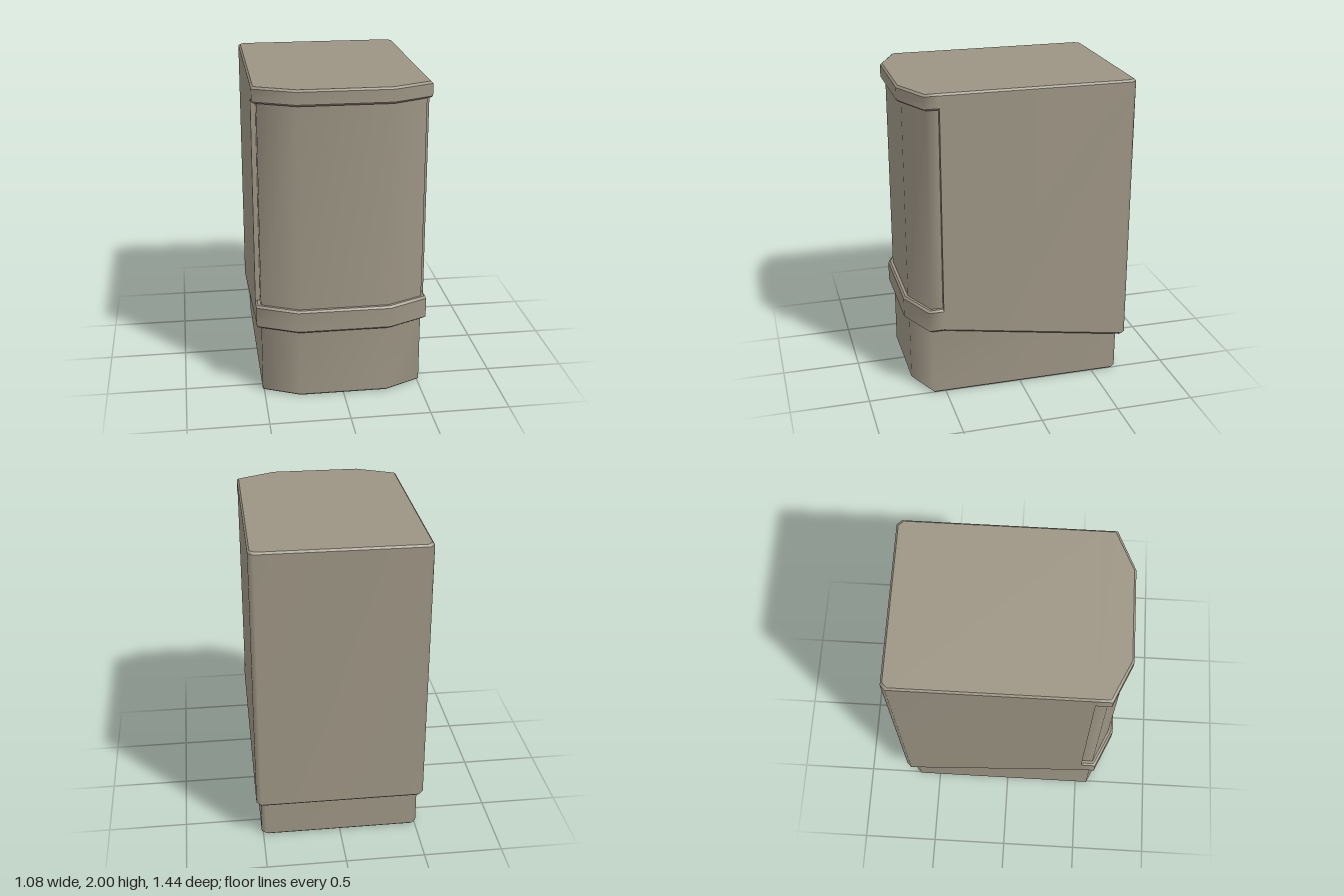
import * as THREE from 'three';
import { mergeGeometries } from 'three/addons/utils/BufferGeometryUtils.js';

// Smooth strip of quads between a lower and an upper row of points
function strip(low, high, closed) {
  const n = low.length, index = [];
  for (let i = 0; i < (closed ? n : n - 1); i++) {
    const j = (i + 1) % n;
    index.push(i, j, n + j, i, n + j, n + i);
  }
  const g = new THREE.BufferGeometry();
  g.setAttribute('position', new THREE.Float32BufferAttribute([...low, ...high].flat(), 3));
  g.setIndex(index);
  g.computeVertexNormals();
  return g;
}

// Bevelled upright block. half: [x, z] outline of the +x side, front to back.
// ends: 'closed' smooth all round, 'openBack' no rear wall, 'flatFront' separate flat front wall.
function block(half, bottom, top, bevel, ends) {
  const maxX = Math.max(...half.map(p => p[0]));
  const level = (inset, yAt) => half.map(([x, z]) => [
    x * (1 - inset / maxX),
    yAt(z),
    Math.abs(z) > 0.57 ? z - inset * Math.sign(z) : z,
  ]);
  const mirror = pts => pts.map(([x, y, z]) => [-x, y, z]);
  const levels = [
    level(bevel, bottom),
    level(0, z => bottom(z) + bevel),
    level(0, () => top - bevel),
    level(bevel, () => top),
  ];
  const ring = pts => {
    const left = mirror(pts).reverse();
    return ends === 'openBack' ? [...left, ...pts] : [...pts, ...left];
  };
  const parts = [];
  for (let i = 0; i < 3; i++) {
    const a = levels[i], b = levels[i + 1];
    parts.push(strip(ring(a), ring(b), ends === 'closed'));
    if (ends === 'flatFront')
      parts.push(strip([mirror(a)[0], a[0]], [mirror(b)[0], b[0]], false));
  }
  // Lids run as strips from front to back
  parts.push(strip(levels[3], mirror(levels[3]), false));
  parts.push(strip(mirror(levels[0]), levels[0], false));
  return mergeGeometries(parts);
}

export function createModel() {
  const model = new THREE.Group();
  const material = new THREE.MeshStandardMaterial({ color: 0x9c9484 });
  material.name = 'warm grey';
  const add = (name, geometry) => {
    const mesh = new THREE.Mesh(geometry, material);
    mesh.name = name;
    model.add(mesh);
  };
  const at = y => () => y;

  // Outer housing with a lower edge sloping down to the back
  const seam = 0.51;
  add('housing', block(
    [[0.54, seam], [0.54, -0.69], [0.51, -0.72]],
    z => 0.455 - (seam - z) * 0.16, 2, 0.012, 'flatFront'));

  // Faceted overhangs above and below the front panel
  const overhang = [[0.29, 0.72], [0.54, 0.605], [0.54, seam]];
  add('topOverhang', block(overhang, at(1.9), 2, 0.012, 'openBack'));
  add('lowerBand', block(overhang, at(0.455), 0.605, 0.012, 'openBack'));

  // Recessed front panel
  add('frontPanel', block(
    [[0.28, 0.69], [0.51, 0.585], [0.51, 0.5]], at(0.56), 1.94, 0.01, 'openBack'));

  // Narrower plinth
  add('base', block(
    [[0.28, 0.685], [0.51, 0.58], [0.51, -0.64], [0.48, -0.67]],
    at(0), 0.5, 0.01, 'closed'));
  // Lid of the plinth stays inside the housing
  return model;
}
